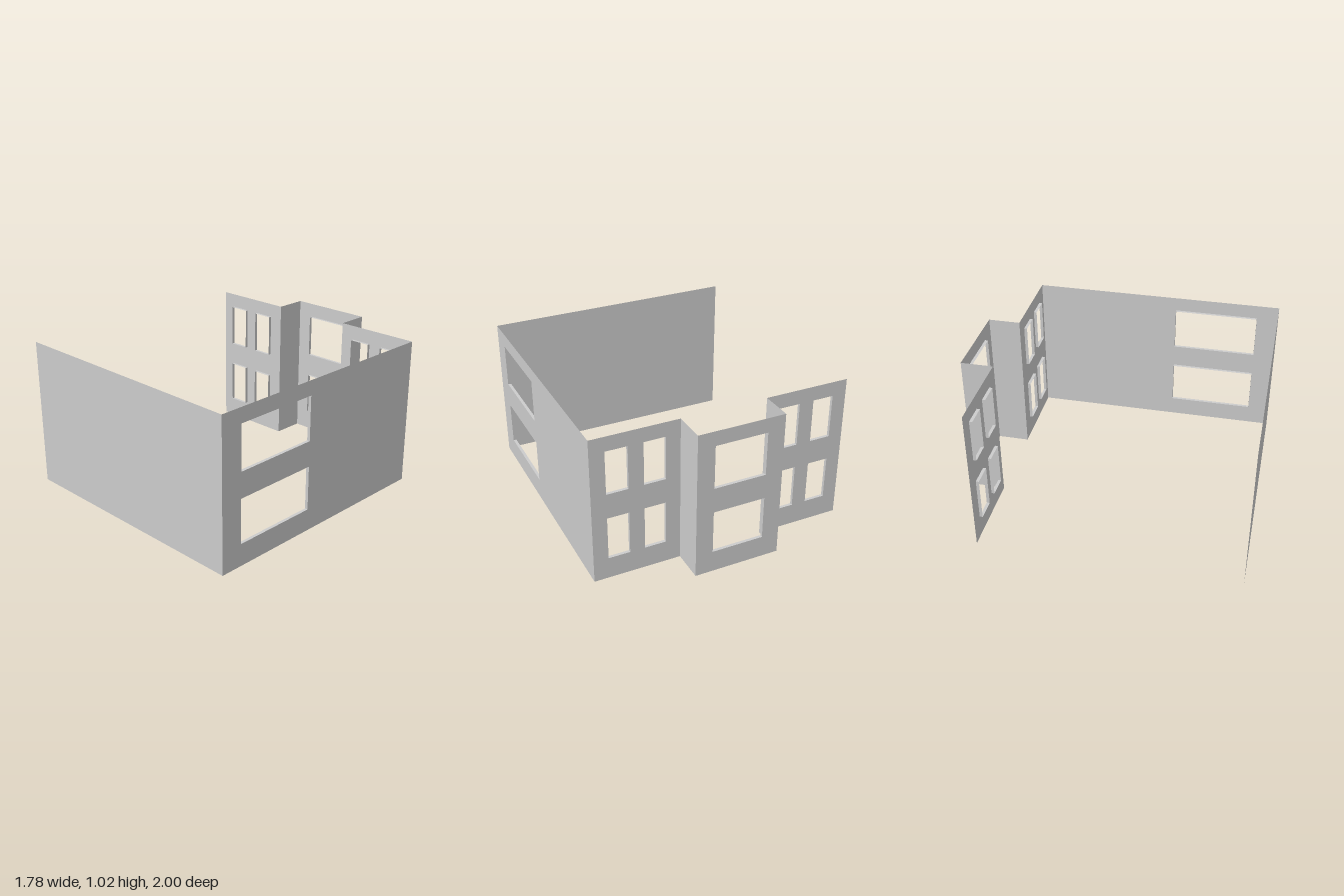
import * as THREE from 'three';

const HEIGHT = 1.023;
const REVEAL = 0.021;
const ROWS = [[0.15, 0.45], [0.623, 0.923]]; // sill and head of each storey

const material = new THREE.MeshStandardMaterial({ color: 0xcccccc, flatShading: true, side: THREE.DoubleSide });

function rectangle(target, x0, y0, x1, y1) {
  target.moveTo(x0, y0);
  target.lineTo(x1, y0);
  target.lineTo(x1, y1);
  target.lineTo(x0, y1);
  target.closePath();
  return target;
}

// Open four-sided lining running inward from a window opening
function windowReveal(x0, y0, x1, y1) {
  const geometry = new THREE.CylinderGeometry(Math.SQRT1_2, Math.SQRT1_2, 1, 4, 1, true);
  geometry.rotateY(Math.PI / 4).rotateX(Math.PI / 2);
  geometry.scale(x1 - x0, y1 - y0, REVEAL);
  geometry.translate((x0 + x1) / 2, (y0 + y1) / 2, -REVEAL / 2);
  const mesh = new THREE.Mesh(geometry, material);
  mesh.name = 'windowReveal';
  return mesh;
}

// Thin wall between two plan points [x, z]; columns are window spans along it
function wall(name, from, to, columns) {
  const dx = to[0] - from[0], dz = to[1] - from[1];
  const group = new THREE.Group();
  group.name = name;
  const shape = rectangle(new THREE.Shape(), 0, 0, Math.hypot(dx, dz), HEIGHT);
  for (const [x0, x1] of columns) {
    for (const [y0, y1] of ROWS) {
      shape.holes.push(rectangle(new THREE.Path(), x0, y0, x1, y1));
      group.add(windowReveal(x0, y0, x1, y1));
    }
  }
  const sheet = new THREE.Mesh(new THREE.ShapeGeometry(shape), material);
  sheet.name = name + 'Sheet';
  group.add(sheet);
  group.position.set(from[0], 0, from[1]);
  group.rotation.y = Math.atan2(-dz, dx);
  return group;
}

export function createModel() {
  const model = new THREE.Group();
  model.name = 'buildingFacade';

  // Plan outline, from the open front corner round to the open back corner
  const w = 0.888, b = 0.296, back = -0.778;
  const plan = [[-w, 1], [w, 1], [w, back], [b, back], [b, -1], [-b, -1], [-b, back], [-w, back]];
  const pair = [[0.1, 0.246], [0.348, 0.494]];
  const walls = [
    ['frontWall', []],
    ['leftWall', [[0.153, 0.75]]],
    ['backWallLeft', pair],
    ['baySideLeft', []],
    ['bayWall', [[0.118, 0.474]]],
    ['baySideRight', []],
    ['backWallRight', pair],
  ];
  walls.forEach(([name, columns], i) => model.add(wall(name, plan[i], plan[i + 1], columns)));
  return model;
}
